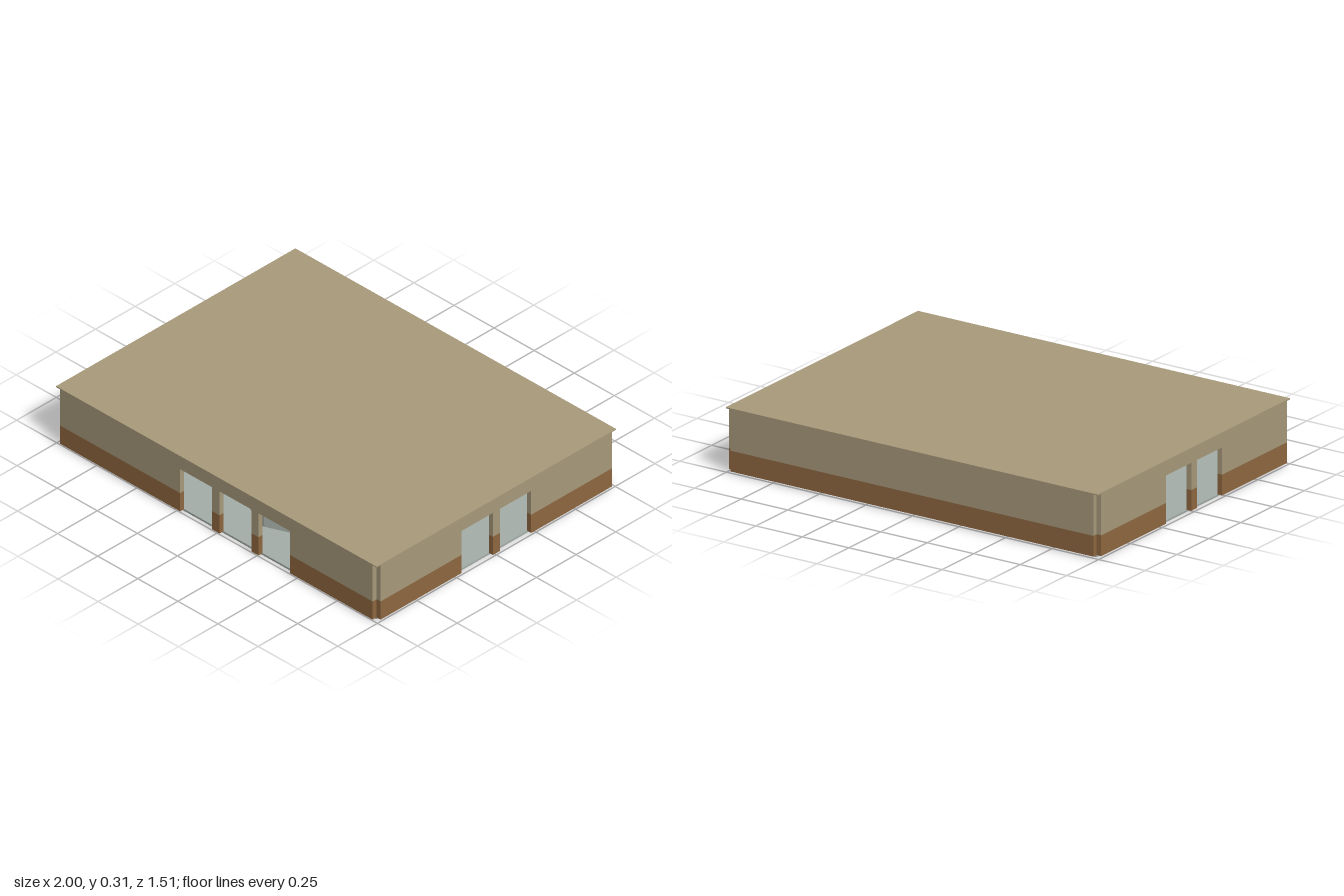
import * as THREE from 'three';

const mat = (name, color) => {
  const m = new THREE.MeshStandardMaterial({ color });
  m.name = name;
  return m;
};

export function createModel() {
  const tan = mat('tan plaster', 0xa89a7b);
  const brown = mat('brown brick', 0x8f6840);
  const grey = mat('pale grey', 0xa5aea8);
  const dark = mat('dark frame', 0x3a2c1c);
  const model = new THREE.Group();
  model.name = 'building';

  // Box given by its lower and upper corners
  const box = (parent, name, material, [x0, y0, z0], [x1, y1, z1]) => {
    const mesh = new THREE.Mesh(new THREE.BoxGeometry(x1 - x0, y1 - y0, z1 - z0), material);
    mesh.position.set((x0 + x1) / 2, (y0 + y1) / 2, (z0 + z1) / 2);
    mesh.name = name;
    parent.add(mesh);
  };

  const halfX = 0.975, halfZ = 0.73, thick = 0.025;
  const base = 0.01, band = 0.108, doorTop = 0.237, top = 0.303;

  // Wall facing +z in its own frame, divided around its doorways
  const wall = (name, half, distance, angle, doors) => {
    const g = new THREE.Group();
    g.name = name;
    const edges = [-half, ...doors.flat(), half];
    for (let i = 0; i < edges.length; i += 2) {
      const [a, b] = [edges[i], edges[i + 1]];
      box(g, 'lowerWall', brown, [a, base, distance], [b, band, distance + thick]);
      box(g, 'upperWall', tan, [a, band, distance], [b, doorTop, distance + thick]);
    }
    box(g, 'wallHead', tan, [-half, doorTop, distance], [half, top, distance + thick]);
    g.rotation.y = angle;
    model.add(g);
  };

  const sideDoors = [[-0.22, -0.022], [0.022, 0.22]];
  wall('frontWall', halfX, halfZ, 0, [[-0.225, -0.028], [0.02, 0.22], [0.263, 0.46]]);
  wall('backWall', halfX, halfZ, Math.PI, []);
  wall('leftWall', halfZ, halfX, Math.PI / 2, sideDoors);
  wall('rightWall', halfZ, halfX, -Math.PI / 2, sideDoors);

  // Floor and roof
  box(model, 'floor', grey, [-halfX, 0, -halfZ], [halfX, base, halfZ]);
  box(model, 'roof', tan, [-1, top, -0.755], [1, 0.308, 0.755]);

  // Eight-sided counter with a tan top
  const counter = new THREE.Mesh(
    new THREE.CylinderGeometry(0.245, 0.245, 0.09, 8).toNonIndexed(),
    [grey, tan, grey]
  );
  counter.geometry.computeVertexNormals();
  counter.position.set(0.12, base + 0.045, 0.335);
  counter.name = 'counter';
  model.add(counter);

  // Pair of framed panels on the inside of the back wall
  for (const [a, b] of [[0.0, 0.105], [0.135, 0.24]]) {
    box(model, 'panelFrame', dark, [a - 0.004, 0.126, -halfZ], [b + 0.004, 0.184, -halfZ + 0.004]);
    box(model, 'panel', grey, [a, 0.13, -halfZ], [b, 0.18, -halfZ + 0.008]);
  }

  return model;
}
